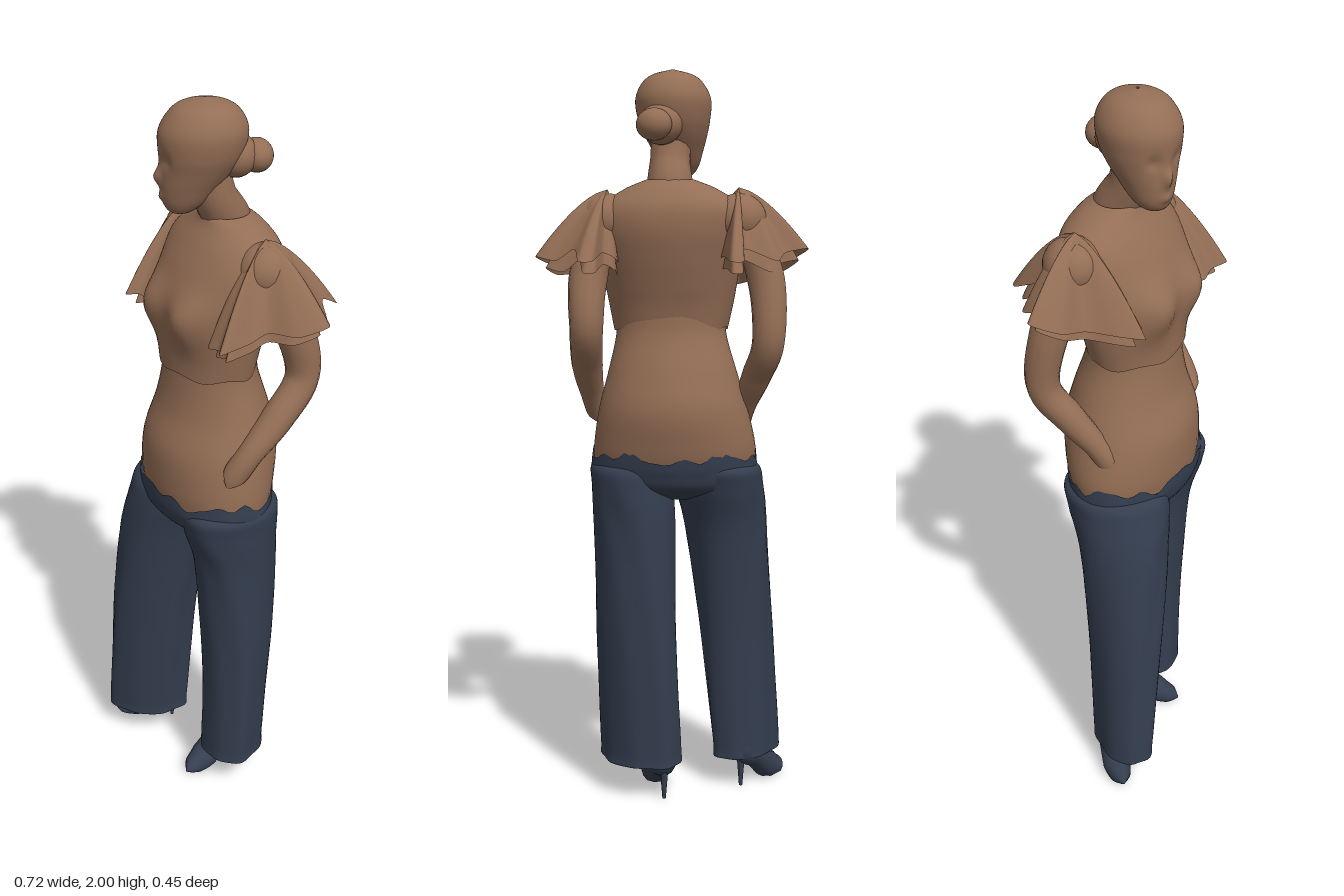
import * as THREE from 'three';

const skin = new THREE.MeshStandardMaterial({ color: 0x946e55, side: THREE.DoubleSide });
skin.name = 'warm brown';
const navy = new THREE.MeshStandardMaterial({ color: 0x343e4f, side: THREE.DoubleSide });
navy.name = 'dark navy';

function add(parent, name, geometry, material) {
  const mesh = new THREE.Mesh(geometry, material);
  mesh.name = name;
  parent.add(mesh);
  return mesh;
}

// Surface from stacked closed rows: point(t, u) gives a position, t up the part, u around it.
function surface(rows, seg, point) {
  const pos = [], idx = [];
  for (let i = 0; i <= rows; i++) {
    for (let j = 0; j < seg; j++) {
      pos.push(...point(i / rows, j / seg));
      if (i < rows) {
        const k = i * seg, n = (j + 1) % seg;
        idx.push(k + j, k + seg + j, k + n, k + n, k + seg + j, k + seg + n);
      }
    }
  }
  const g = new THREE.BufferGeometry();
  g.setAttribute('position', new THREE.Float32BufferAttribute(pos, 3));
  g.setIndex(idx);
  g.computeVertexNormals();
  return g;
}

// Smooth skin over elliptical rings [y, cx, cz, rx, rz, yaw], listed bottom to top.
// shape(point, angle, t) may move each vertex.
function loft(rings, { yaw = 0, seg = 48, steps = 6, shape = null } = {}) {
  const curve = f => new THREE.CatmullRomCurve3(rings.map(r => new THREE.Vector3(...f(r))), false, 'catmullrom');
  const mid = curve(r => [r[1], r[0], r[2]]), rad = curve(r => [r[3], r[4], r[5] ?? yaw]);
  return surface((rings.length - 1) * steps, seg, (t, u) => {
    const m = mid.getPoint(t), r = rad.getPoint(t), a = u * Math.PI * 2;
    const c = Math.cos(r.z), s = Math.sin(r.z);
    const p = new THREE.Vector3(r.x * Math.cos(a), 0, r.y * Math.sin(a));
    if (shape) shape(p, a, t);
    return [m.x + p.x * c - p.z * s, m.y + p.y, m.z + p.x * s + p.z * c];
  });
}

// Tube whose radius changes along the path: points are [x, y, z, radius].
function limb(points) {
  const path = new THREE.CatmullRomCurve3(points.map(p => new THREE.Vector3(p[0], p[1], p[2])), false, 'catmullrom');
  const n = 36, side = 14, g = new THREE.TubeGeometry(path, n, 1, side), pos = g.attributes.position;
  const v = new THREE.Vector3();
  for (let i = 0; i <= n; i++) {
    const c = path.getPointAt(i / n), u = path.getUtoTmapping(i / n) * (points.length - 1);
    const k = Math.min(Math.floor(u), points.length - 2);
    const r = THREE.MathUtils.lerp(points[k][3], points[k + 1][3], u - k);
    for (let j = 0; j <= side; j++) {
      const q = i * (side + 1) + j;
      v.fromBufferAttribute(pos, q).sub(c).multiplyScalar(r).add(c);
      pos.setXYZ(q, v.x, v.y, v.z);
    }
  }
  return g;
}

function ball(parent, name, at, size, yaw) {
  const m = add(parent, name, new THREE.SphereGeometry(1, 24, 16), skin);
  m.position.set(...at);
  m.scale.set(...size);
  m.rotation.y = -yaw;
}

const bell = (x, width) => Math.exp(-((x / width) ** 2));
const jag = a => 0.010 * Math.sin(5 * a) + 0.008 * Math.sin(11 * a + 1) + 0.005 * Math.sin(17 * a);

// Draped sleeve from an uneven hem outline up to a rounded shoulder point;
// size and drop make the shorter tier underneath.
function ruffle(apex, hem, size, drop) {
  const top = new THREE.Vector3(...apex);
  const edge = new THREE.CatmullRomCurve3(hem.map(h => new THREE.Vector3(...h)), true, 'catmullrom', 0.4);
  return surface(12, 90, (t, u) => {
    const h = edge.getPoint(u), s = 1 - t, f = size * Math.pow(s, 0.75);
    return [top.x + (h.x - top.x) * f, top.y + (h.y - drop - top.y) * Math.pow(s, 1.15), top.z + (h.z - top.z) * f];
  });
}

// High-heeled shoe running from heel [x, z] to toe [x, z]
function shoe(parent, name, heel, toe) {
  const g = new THREE.Group(), dx = toe[0] - heel[0], dz = toe[1] - heel[1], L = Math.hypot(dx, dz);
  g.name = name;
  g.position.set(heel[0], 0, heel[1]);
  g.rotation.y = Math.atan2(dx, dz);
  const foot = limb([[0, 0.14, 0.02, 0.03], [0, 0.10, 0.015, 0.036], [0, 0.075, L * 0.35, 0.036],
    [0, 0.032, L * 0.65, 0.041], [0, 0.018, L * 0.88, 0.028], [0, 0.012, L, 0.002]]);
  const pos = foot.attributes.position;
  for (let i = 0; i < pos.count; i++) pos.setY(i, Math.max(0.002, pos.getY(i)));
  add(g, 'shoeUpper', foot, navy);
  add(g, 'stilettoHeel', new THREE.CylinderGeometry(0.012, 0.005, 0.09, 10).translate(0, 0.045, 0), navy);
  parent.add(g);
}

export function createModel() {
  const model = new THREE.Group();
  model.name = 'standingWoman';
  const turn = 0.22, look = 0.55;

  // Midriff and hips
  add(model, 'midriff', loft([
    [0.94, -0.02, 0.053, 0.222, 0.148], [1.0, -0.02, 0.048, 0.222, 0.160], [1.1, -0.015, 0.04, 0.203, 0.166],
    [1.2, -0.012, 0.035, 0.175, 0.138], [1.3, -0.01, 0.043, 0.150, 0.114], [1.37, -0.01, 0.045, 0.15, 0.11],
  ], { yaw: turn }), skin);

  // Cropped blouse with bust and shoulders; its hem stands off only at the front
  add(model, 'blouse', loft([
    [1.315, -0.01, 0.048, 0.155, 0.118], [1.4, -0.01, 0.043, 0.172, 0.124], [1.5, -0.005, 0.03, 0.19, 0.138],
    [1.58, 0, 0.008, 0.200, 0.132], [1.64, 0, -0.008, 0.188, 0.112], [1.685, 0, -0.01, 0.125, 0.082],
    [1.71, 0, 0, 0.066, 0.062],
  ], {
    yaw: turn, seg: 72, shape: (p, a, t) => {
      const f = Math.max(0, 1 - t * 5);
      if (p.z > 0) p.z += 0.035 * bell(t - 0.29, 0.12) * (bell(p.x - 0.085, 0.06) + bell(p.x + 0.085, 0.06));
      else p.z *= 1 - 0.1 * f;
      p.y = f * 0.005 * Math.sin(6 * a);
    },
  }), skin);
  ball(model, 'leftShoulder', [0.165, 1.605, 0.02], [0.075, 0.07, 0.075], turn);
  ball(model, 'rightShoulder', [-0.175, 1.605, -0.055], [0.075, 0.07, 0.075], turn);
  add(model, 'neck', limb([[0, 1.64, -0.015, 0.08], [0, 1.7, 0.0, 0.062], [-0.005, 1.76, 0.03, 0.054],
    [-0.015, 1.85, 0.05, 0.055]]), skin);

  // Head with nose and eye hollows, turned to one side
  add(model, 'head', loft([
    [1.72, -0.046, 0.106, 0.004, 0.004], [1.726, -0.046, 0.104, 0.03, 0.03], [1.75, -0.042, 0.094, 0.05, 0.055],
    [1.79, -0.034, 0.08, 0.067, 0.076], [1.83, -0.026, 0.066, 0.083, 0.092], [1.87, -0.02, 0.058, 0.095, 0.105],
    [1.92, -0.017, 0.053, 0.1, 0.11], [1.96, -0.015, 0.05, 0.084, 0.092], [1.985, -0.015, 0.05, 0.056, 0.062],
    [2.0, -0.015, 0.05, 0.004, 0.004],
  ], {
    yaw: look, seg: 72, steps: 8, shape: (p, a, t) => {
      const d = a - Math.PI / 2;
      p.z += 0.016 * bell(d, 0.14) * bell(t - 0.4, 0.06) + 0.006 * bell(d, 0.25) * bell(t - 0.26, 0.03);
      p.z -= 0.009 * bell(t - 0.52, 0.05) * (bell(d - 0.38, 0.2) + bell(d + 0.38, 0.2));
    },
  }), skin);
  ball(model, 'hairBun', [0.052, 1.85, -0.058], [0.048, 0.042, 0.042], look);
  ball(model, 'gatheredHair', [0.026, 1.855, -0.012], [0.058, 0.055, 0.055], look);

  // Arms with the hands tucked at the hips
  add(model, 'leftArm', limb([[0.17, 1.62, 0.02, 0.04], [0.222, 1.46, -0.025, 0.052], [0.232, 1.32, -0.05, 0.044],
    [0.222, 1.22, 0.03, 0.042], [0.202, 1.14, 0.1, 0.033], [0.18, 1.08, 0.135, 0.034], [0.165, 1.04, 0.145, 0.005]]), skin);
  add(model, 'rightArm', limb([[-0.18, 1.62, -0.05, 0.04], [-0.24, 1.46, -0.09, 0.05], [-0.245, 1.29, -0.115, 0.043],
    [-0.228, 1.19, -0.05, 0.04], [-0.21, 1.11, 0.01, 0.032], [-0.2, 1.06, 0.04, 0.033], [-0.19, 1.01, 0.05, 0.005]]), skin);

  // Draped sleeves with a few deep folds, each with a shorter tier beneath
  const leftHem = [[0.15, 1.5, -0.06], [0.19, 1.52, -0.08], [0.225, 1.5, -0.145], [0.26, 1.5, -0.14], [0.265, 1.53, -0.08],
    [0.31, 1.5, -0.05], [0.36, 1.51, 0], [0.32, 1.49, 0.06], [0.255, 1.49, 0.095], [0.235, 1.47, 0.14],
    [0.218, 1.46, 0.22], [0.18, 1.45, 0.19], [0.13, 1.44, 0.18], [0.12, 1.46, 0.1]];
  const rightHem = [[-0.12, 1.51, -0.12], [-0.12, 1.5, -0.225], [-0.155, 1.5, -0.22], [-0.175, 1.53, -0.145],
    [-0.255, 1.5, -0.158], [-0.29, 1.52, -0.11], [-0.355, 1.53, -0.1], [-0.325, 1.5, -0.03], [-0.265, 1.48, 0.01],
    [-0.245, 1.47, 0.09], [-0.22, 1.46, 0.145], [-0.195, 1.46, 0.12], [-0.15, 1.45, 0.11], [-0.12, 1.48, 0.05]];
  for (const [tier, size, drop] of [['Upper', 1, 0], ['Lower', 0.86, 0.03]]) {
    add(model, 'left' + tier + 'Ruffle', ruffle([0.165, 1.685, 0.02], leftHem, size, drop), skin);
    add(model, 'right' + tier + 'Ruffle', ruffle([-0.175, 1.69, -0.05], rightHem, size, drop), skin);
  }

  // Wide trousers with a ragged upper edge
  add(model, 'trouserSeat', loft([
    [0.85, -0.03, 0.055, 0.15, 0.07], [0.885, -0.022, 0.055, 0.215, 0.135],
    [0.93, -0.02, 0.055, 0.229, 0.155], [0.972, -0.02, 0.052, 0.226, 0.16],
  ], { yaw: turn, seg: 72, shape: (p, a, t) => { p.y = t > 0.6 ? jag(a) * (t - 0.6) / 0.4 : 0; } }), navy);
  const folds = ph => (p, a, t) => {
    const k = 1 + (1 - t) * (0.03 * Math.sin(5 * a + ph + 3 * t) + 0.025 * Math.sin(8 * a - ph));
    p.x *= k;
    p.z *= k;
    p.y = Math.max(0, 1 - t * 6) * 0.008 * Math.sin(3 * a + ph);
  };
  // The long axis of each leg swings round from hip to hem
  add(model, 'rightTrouserLeg', loft([
    [0.11, -0.235, 0.098, 0.04, 0.03, -0.7], [0.085, -0.238, 0.1, 0.11, 0.075, -0.7],
    [0.12, -0.238, 0.1, 0.118, 0.08, -0.7], [0.3, -0.222, 0.096, 0.12, 0.088, -0.75],
    [0.5, -0.203, 0.09, 0.122, 0.098, -0.85], [0.75, -0.172, 0.073, 0.125, 0.115, -1.2],
    [0.88, -0.143, 0.05, 0.138, 0.124, -1.57], [0.94, -0.13, 0.035, 0.133, 0.117, -1.57],
    [0.955, -0.12, 0.035, 0.06, 0.05, -1.57],
  ], { shape: folds(0.5) }), navy);
  add(model, 'leftTrouserLeg', loft([
    [0.12, 0.075, 0.046, 0.04, 0.03, 0.75], [0.095, 0.075, 0.046, 0.116, 0.085, 0.75],
    [0.13, 0.075, 0.046, 0.122, 0.09, 0.75], [0.3, 0.083, 0.042, 0.122, 0.092, 0.8],
    [0.5, 0.09, 0.042, 0.122, 0.1, 0.9], [0.75, 0.093, 0.05, 0.126, 0.108, 1.2],
    [0.88, 0.096, 0.068, 0.139, 0.112, 1.57], [0.94, 0.098, 0.075, 0.132, 0.107, 1.57],
    [0.955, 0.095, 0.075, 0.06, 0.05, 1.57],
  ], { shape: folds(2) }), navy);

  // High heels
  shoe(model, 'leftShoe', [0.022, -0.03], [0.028, 0.185]);
  shoe(model, 'rightShoe', [-0.21, 0.03], [-0.352, 0.14]);
  return model;
}
